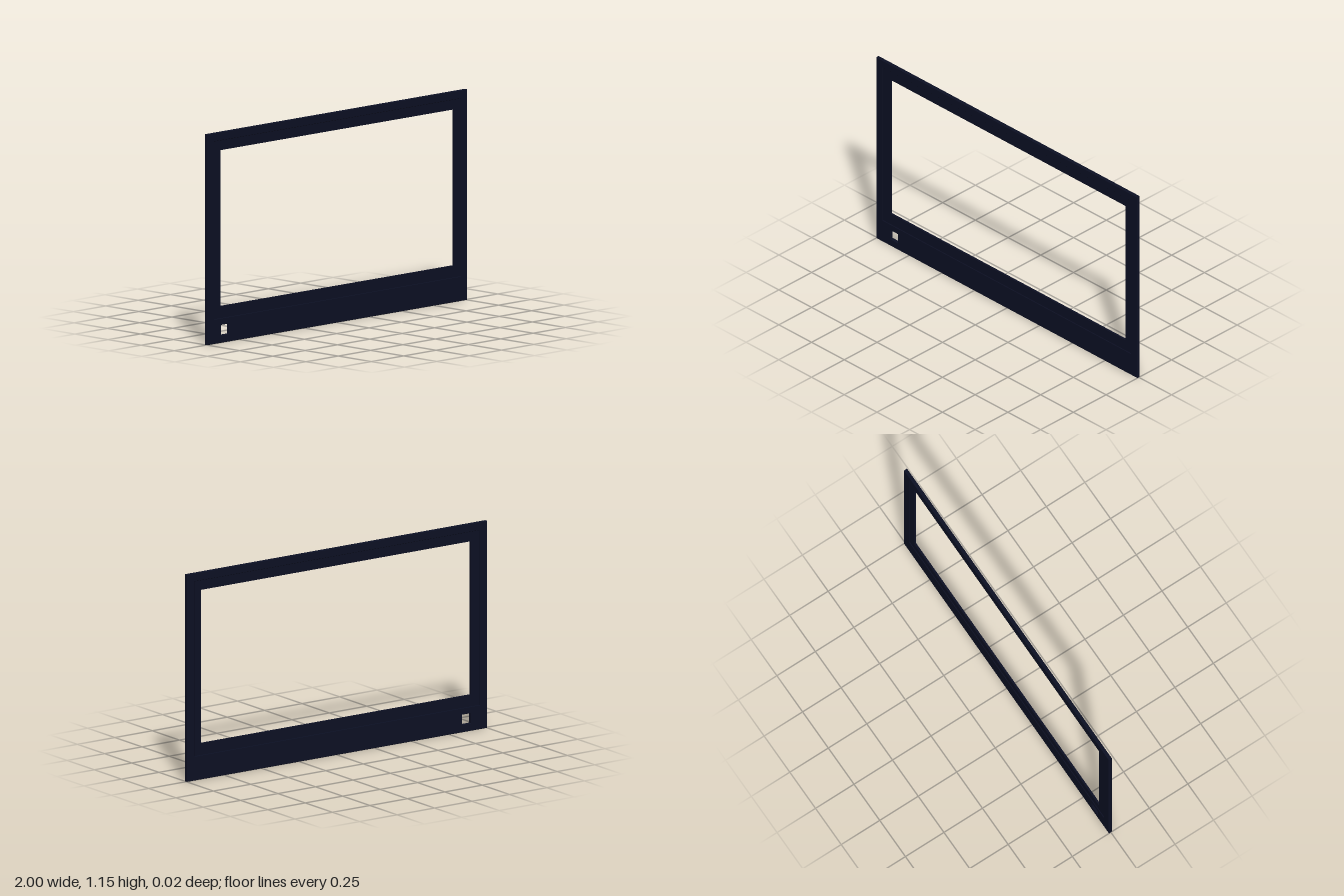
import * as THREE from 'three';

const material = new THREE.MeshStandardMaterial({ color: 0x0c1024 });

// Adds a closed rectangle to a shape or path
function rect(path, x0, y0, x1, y1) {
  path.moveTo(x0, y0);
  path.lineTo(x1, y0);
  path.lineTo(x1, y1);
  path.lineTo(x0, y1);
  path.closePath();
  return path;
}

// Flat plate with rectangular holes, centred on z = 0
function plate(name, outer, holes, depth, bevel = 0) {
  const b = bevel;
  const shape = rect(new THREE.Shape(), outer[0] + b, outer[1] + b, outer[2] - b, outer[3] - b);
  for (const h of holes) {
    shape.holes.push(rect(new THREE.Path(), h[0] - b, h[1] - b, h[2] + b, h[3] + b));
  }
  const geometry = new THREE.ExtrudeGeometry(shape, {
    depth: depth - 2 * b,
    bevelEnabled: b > 0,
    bevelSize: b,
    bevelThickness: b,
    bevelSegments: 1,
  });
  geometry.translate(0, 0, -depth / 2 + b);
  const mesh = new THREE.Mesh(geometry, material);
  mesh.name = name;
  return mesh;
}

export function createModel() {
  const group = new THREE.Group();
  group.name = 'screenBezel';

  const recess = [-0.95, 0.135, 0.95, 1.11];
  const opening = [-0.895, 0.2, 0.905, 1.056];
  const buttonHole = [-0.893, 0.042, -0.833, 0.098];

  // Thick outer rim with the small square cut-out in its lower corner
  group.add(plate('outerRim', [-1, 0, 1, 1.155], [recess, buttonHole], 0.02, 0.002));

  // Thinner inner lip, set back on both faces, around the large opening
  group.add(plate('innerLip', recess, [opening], 0.012));

  // Slight yaw of the whole panel
  group.rotation.y = -0.0025;
  return group;
}
